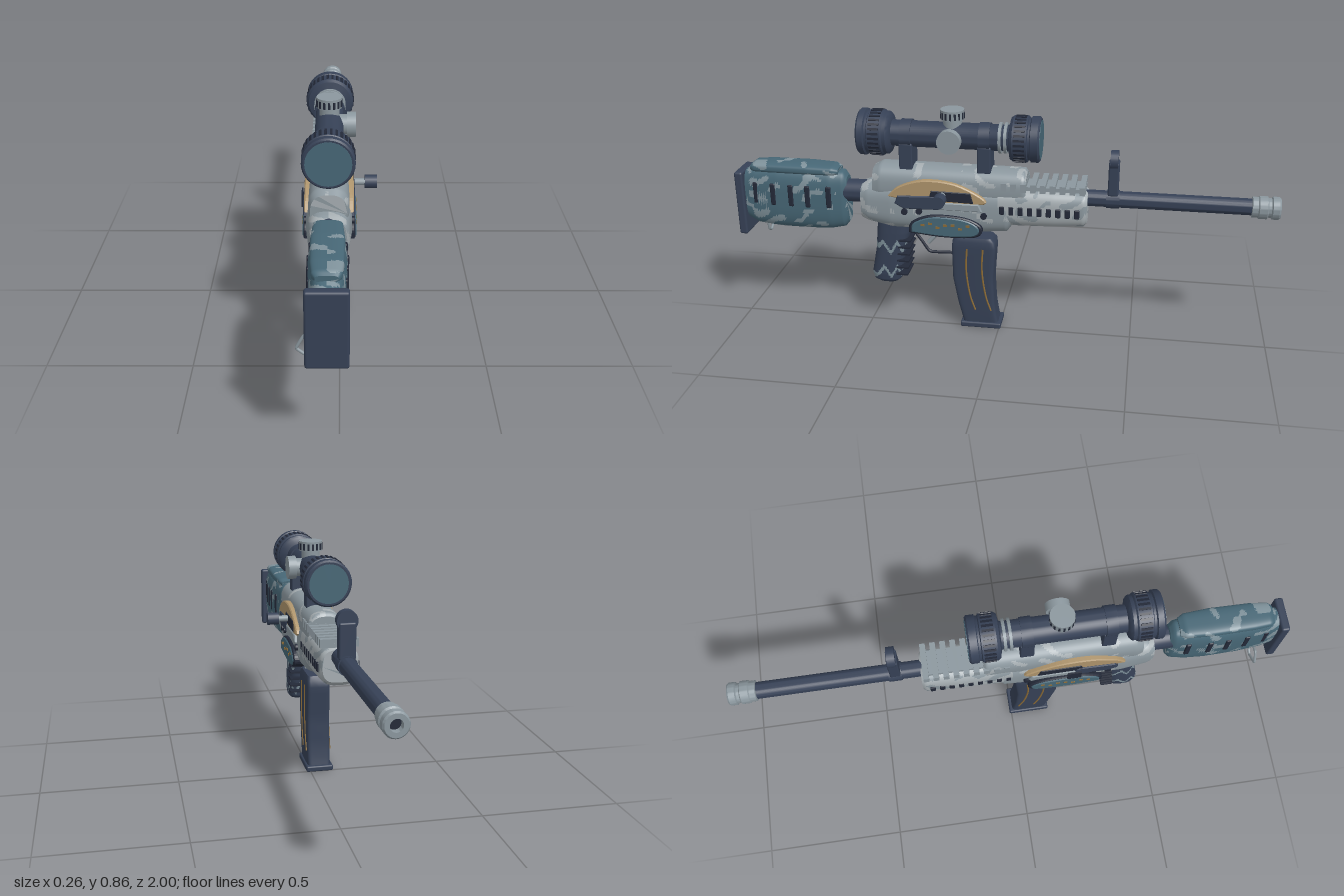
import * as THREE from 'three';
import { toCreasedNormals } from 'three/addons/utils/BufferGeometryUtils.js';
import { RoundedBoxGeometry } from 'three/addons/geometries/RoundedBoxGeometry.js';

const X = -0.035; // shared centre line
const mat = (name, color) => Object.assign(new THREE.MeshStandardMaterial({ color }), { name });

export function createModel() {
  const navy = mat('navy', 0x364156), dark = mat('nearBlack', 0x232938), teal = mat('teal', 0x476776);
  const mist = mat('mistGrey', 0x7f929b), grey = mat('grey', 0x8b979e), light = mat('lightGrey', 0xa6aeb2);
  const tan = mat('tan', 0xae946c), gold = mat('gold', 0x8c6c38);
  const model = new THREE.Group();
  model.name = 'scopedToyRifle';

  const add = (name, geo, m, x = 0, y = 0, z = 0) => {
    const mesh = new THREE.Mesh(geo, m);
    mesh.name = name;
    mesh.position.set(x, y, z);
    model.add(mesh);
    return mesh;
  };
  const box = (name, m, w, h, d, x, y, z) => add(name, new THREE.BoxGeometry(w, h, d), m, x, y, z);
  const rbox = (name, m, w, h, d, x, y, z, r = 0.008) => add(name, new RoundedBoxGeometry(w, h, d, 2, r), m, x, y, z);
  const tube = (name, m, pts, r, closed = false, tension = 0.5) => add(name, new THREE.TubeGeometry(
    new THREE.CatmullRomCurve3(pts.map(p => new THREE.Vector3(...p)), closed, 'catmullrom', tension), 40, r, 8, closed), m);
  // turned part along z, profile of [radius, z] with z rising
  const turned = (name, m, profile, y) => add(name, toCreasedNormals(new THREE.LatheGeometry(
    profile.map(p => new THREE.Vector2(...p)), 40).rotateX(Math.PI / 2), 0.6), m, X, y, 0);

  // Loft of superellipse sections [t, low, high, halfWidth] along z or y; pick chooses the material per face
  const loft = (name, axis, power, stations, mats, pick = () => 0, seg = 56, step = 0.008) => {
    const pos = [], rings = [], faces = mats.map(() => []);
    for (let k = 0; k < stations.length - 1; k++) {
      const a = stations[k], b = stations[k + 1], n = Math.max(1, Math.ceil((b[0] - a[0]) / step));
      for (let i = k ? 1 : 0; i <= n; i++) rings.push(a.map((v, q) => v + (b[q] - v) * i / n));
    }
    const ring = ([t, lo, hi, w]) => {
      for (let j = 0; j < seg; j++) {
        const ang = j / seg * Math.PI * 2, c = Math.cos(ang), s = Math.sin(ang);
        const u = Math.sign(c) * Math.abs(c) ** (2 / power), v = Math.sign(s) * Math.abs(s) ** (2 / power);
        const mid = (lo + hi) / 2, h = (hi - lo) / 2;
        if (axis === 'z') pos.push(X + w * u, mid + h * v, t);
        else pos.push(X + w * u, t, mid - h * v);
      }
    };
    rings.forEach(ring);
    const tri = (...ids) => {
      const c = [0, 1, 2].map(q => ids.reduce((sum, id) => sum + pos[id * 3 + q], 0) / 3);
      faces[pick(...c)].push(...ids);
    };
    for (let i = 0; i < rings.length - 1; i++) for (let j = 0; j < seg; j++) {
      const a = i * seg + j, b = i * seg + (j + 1) % seg;
      tri(a, b, a + seg);
      tri(b, b + seg, a + seg);
    }
    [rings[0], rings[rings.length - 1]].forEach((r, end) => {
      const s = pos.length / 3;
      ring(r);
      for (let j = 1; j < seg - 1; j++) end ? tri(s, s + j, s + j + 1) : tri(s, s + j + 1, s + j);
    });
    const geo = new THREE.BufferGeometry();
    geo.setAttribute('position', new THREE.Float32BufferAttribute(pos, 3));
    geo.setIndex(faces.flat());
    let start = 0;
    faces.forEach((f, i) => { geo.addGroup(start, f.length, i); start += f.length; });
    geo.computeVertexNormals();
    return add(name, geo, mats);
  };
  // Camouflage blotches
  const camo = limit => (x, y, z) => {
    const s = x > X ? 0 : 2.1;
    return Math.sin(z * 31 + 1.8 * Math.sin(y * 47 + s) + s) * Math.sin(y * 52 + 1.5 * Math.sin(z * 43) + s + x * 25) > limit ? 1 : 0;
  };
  // Plate with a [z, y] outline, reaching through the body to both sides
  const plate = (name, m, pts, half, curved = false) => {
    const shape = new THREE.Shape();
    const v = pts.map(([z, y]) => new THREE.Vector2(-z, y));
    if (curved) shape.setFromPoints(new THREE.SplineCurve([...v, v[0]]).getPoints(40).slice(0, -1));
    else shape.setFromPoints(v);
    const geo = new THREE.ExtrudeGeometry(shape, { depth: half * 2 - 0.008, bevelThickness: 0.004, bevelSize: 0.004, bevelSegments: 1 });
    return add(name, geo.translate(0, 0, 0.004 - half).rotateY(Math.PI / 2), m, X);
  };

  // Stock
  loft('stock', 'z', 3.2, [[0.575, 0.4, 0.58, 0.035], [0.59, 0.38, 0.6, 0.046], [0.64, 0.37, 0.605, 0.056], [0.72, 0.367, 0.608, 0.061],
    [0.84, 0.367, 0.608, 0.058], [0.93, 0.375, 0.6, 0.051], [0.975, 0.4, 0.585, 0.045]], [teal, mist], camo(0.42));
  loft('cheekRest', 'z', 3, [[0.605, 0.59, 0.612, 0.035], [0.625, 0.585, 0.622, 0.046], [0.72, 0.585, 0.626, 0.052], [0.87, 0.585, 0.626, 0.05],
    [0.93, 0.585, 0.622, 0.044], [0.945, 0.59, 0.612, 0.034]], [teal, mist], camo(0.45));
  rbox('buttPlate', navy, 0.128, 0.25, 0.032, -0.035, 0.465, 0.984);
  [[0.925, 0.05], [0.855, 0.058], [0.785, 0.061], [0.72, 0.062], [0.64, 0.058]].forEach(([z, w]) =>
    rbox('stockSlot', dark, w * 2 + 0.004, 0.085, 0.02, X, 0.508, z, 0.005));
  turned('stockTube', navy, [[0, 0.5], [0.043, 0.5], [0.043, 0.6], [0, 0.6]], 0.522);
  tube('slingLoop', grey, [[-0.1, 0.4, 0.915], [-0.125, 0.355, 0.915], [-0.08, 0.32, 0.915], [-0.058, 0.33, 0.915], [-0.05, 0.38, 0.915]], 0.005, true, 0.1);

  // Receiver and handguard
  loft('upperReceiver', 'z', 2.6, [[-0.1, 0.5, 0.63, 0.06], [-0.09, 0.5, 0.643, 0.066], [0.44, 0.5, 0.645, 0.067], [0.468, 0.5, 0.63, 0.06]],
    [grey, light], camo(0.6));
  loft('lowerReceiver', 'z', 3, [[-0.055, 0.44, 0.57, 0.066], [-0.03, 0.405, 0.575, 0.073], [0.1, 0.395, 0.58, 0.076], [0.4, 0.397, 0.58, 0.076],
    [0.49, 0.415, 0.57, 0.068], [0.516, 0.425, 0.56, 0.06]], [grey, light], camo(0.5));
  loft('handguard', 'z', 3, [[-0.322, 0.455, 0.57, 0.06], [-0.31, 0.442, 0.578, 0.068], [-0.2, 0.435, 0.58, 0.072], [0, 0.43, 0.58, 0.073]],
    [light, grey], camo(0.4));
  for (let i = 0; i < 9; i++) {
    rbox('handguardSlot', dark, 0.149, 0.034, 0.019, X, 0.504, -0.015 - i * 0.034, 0.004);
    box('railSlat', grey, 0.134, 0.03, 0.02, X, 0.591, -0.02 - i * 0.0355);
  }
  box('railBed', grey, 0.09, 0.014, 0.3, X, 0.583, -0.165);

  // Side panels and action
  plate('tanPanel', tan, [[0.4, 0.54], [0.36, 0.575], [0.27, 0.602], [0.15, 0.592], [0.045, 0.535], [0.13, 0.525], [0.3, 0.53]], 0.082, true);
  plate('actionCover', navy, [[0.375, 0.515], [0.365, 0.54], [0.23, 0.545], [0.22, 0.5], [0.345, 0.498]], 0.087);
  plate('boltCarrier', dark, [[0.25, 0.535], [0.24, 0.567], [0.1, 0.565], [0.09, 0.53]], 0.085);
  plate('actionStrip', grey, [[0.24, 0.5], [0.23, 0.522], [0.07, 0.522], [0.06, 0.5]], 0.086);
  const lens = [[0.325, 0.405], [0.315, 0.44], [0.24, 0.47], [0.12, 0.465], [0.062, 0.435], [0.08, 0.4], [0.2, 0.393]];
  plate('lowerPanelRim', dark, lens, 0.088, true);
  plate('lowerPanel', teal, lens.map(([z, y]) => [0.195 + (z - 0.195) * 0.92, 0.432 + (y - 0.432) * 0.86]), 0.092, true);
  for (let i = 0; i < 7; i++) box('panelStud', gold, 0.189, 0.008, 0.014, X, 0.437 + 0.008 * Math.sin(i * 2.2), 0.275 - i * 0.028);
  [[0.345, 0.48], [0.29, 0.485], [0.05, 0.48]].forEach(([z, y]) =>
    add('panelScrew', new THREE.CylinderGeometry(0.012, 0.012, 0.168, 14).rotateZ(Math.PI / 2), dark, X, y, z));
  box('sideLever', dark, 0.006, 0.05, 0.05, -0.128, 0.505, 0.22);
  add('boltRod', new THREE.CylinderGeometry(0.012, 0.012, 0.1, 14).rotateZ(Math.PI / 2), grey, 0.05, 0.555, 0.2);
  add('boltKnob', new THREE.CylinderGeometry(0.023, 0.023, 0.042, 18).rotateZ(Math.PI / 2), navy, 0.107, 0.556, 0.2);

  // Pistol grip with zigzag bands
  const zigzag = (x, y, z) => {
    const wave = 0.014 * Math.asin(Math.sin(z * 115 + x * 105));
    return [0.315, 0.212].some(level => Math.abs(y - level - wave) < 0.0095) ? 1 : 0;
  };
  loft('grip', 'y', 2.8, [[0.165, 0.395, 0.47, 0.035], [0.175, 0.383, 0.488, 0.043], [0.2, 0.378, 0.495, 0.046], [0.3, 0.36, 0.476, 0.047],
    [0.37, 0.345, 0.47, 0.046], [0.42, 0.34, 0.465, 0.044]], [navy, mist], zigzag, 72, 0.004);
  for (let i = 0; i < 6; i++) box('gripRidge', dark, 0.096, 0.006, 0.046, X, 0.205 + i * 0.028, 0.372 - i * 0.003);
  tube('triggerGuard', dark, [[X, 0.385, 0.34], [X, 0.33, 0.3], [X, 0.29, 0.272], [X, 0.288, 0.23], [X, 0.29, 0.17]], 0.006, false, 0.3);
  tube('trigger', grey, [[X, 0.4, 0.25], [X, 0.365, 0.245], [X, 0.325, 0.275]], 0.008);

  // Magazine
  loft('magazine', 'y', 8, [[0.012, 0.002, 0.136, 0.044], [0.05, 0.01, 0.145, 0.045], [0.1, 0.017, 0.158, 0.045], [0.2, 0.022, 0.177, 0.045],
    [0.33, 0.013, 0.18, 0.045], [0.355, 0.016, 0.177, 0.044], [0.37, 0.03, 0.165, 0.038]], [navy], undefined, 48, 0.03);
  rbox('magazineBase', navy, 0.103, 0.022, 0.155, X, 0.011, 0.07, 0.006);
  for (const side of [-1, 1]) for (const z of [0.12, 0.06])
    tube('magazineStripe', gold, [[0.33, 0], [0.26, 0.004], [0.2, 0], [0.13, -0.012], [0.075, -0.03]].map(([y, dz]) => [X + side * 0.045, y, z + dz]), 0.0035);
  box('magazineCatch', grey, 0.06, 0.03, 0.016, X, 0.385, 0.14);

  // Barrel, muzzle and front sight
  turned('barrel', navy, [[0, -0.95], [0.03, -0.95], [0.03, -0.3], [0, -0.3]], 0.545);
  turned('muzzle', grey, [[0.02, -0.97], [0.02, -1], [0.036, -1], [0.041, -0.994], [0.041, -0.972], [0.035, -0.968], [0.035, -0.958], [0.041, -0.954],
    [0.041, -0.926], [0.037, -0.922], [0.037, -0.902], [0.03, -0.9]], 0.545);
  turned('bore', dark, [[0, -0.975], [0.021, -0.975], [0.021, -0.96]], 0.545);
  turned('sightCollar', navy, [[0.03, -0.435], [0.034, -0.435], [0.034, -0.388], [0.03, -0.388]], 0.545);
  rbox('frontSightPost', navy, 0.058, 0.125, 0.038, X, 0.627, -0.411, 0.006);
  add('frontSightBead', new THREE.CylinderGeometry(0.036, 0.036, 0.028, 24).rotateX(Math.PI / 2), navy, X, 0.694, -0.411);

  // Scope
  const sy = 0.757;
  turned('scopeBody', navy, [[0, -0.147], [0.077, -0.147], [0.083, -0.141], [0.083, -0.115], [0.077, -0.112], [0.077, -0.105], [0.083, -0.102],
    [0.083, -0.05], [0.076, -0.04], [0.05, -0.035], [0.048, -0.03], [0.048, 0.395], [0.07, 0.4], [0.078, 0.408], [0.078, 0.42], [0.083, 0.425],
    [0.083, 0.475], [0.078, 0.478], [0.078, 0.486], [0.085, 0.49], [0.085, 0.51], [0.08, 0.516], [0, 0.516]], sy);
  turned('frontLens', teal, [[0, -0.149], [0.07, -0.149], [0.07, -0.14]], sy);
  turned('rearLens', teal, [[0, 0.51], [0.074, 0.51], [0.074, 0.518], [0, 0.518]], sy);
  [-0.022, -0.002].forEach(z => turned('scopeBand', grey, [[0.046, z - 0.006], [0.056, z - 0.005], [0.056, z + 0.005], [0.046, z + 0.006]], sy));
  for (const z of [-0.076, 0.45]) for (let i = 0; i < 30; i++) {
    const a = i / 30 * Math.PI * 2;
    box('scopeKnurl', dark, 0.005, 0.008, 0.04, X + 0.083 * Math.cos(a), sy + 0.083 * Math.sin(a), z).rotation.z = a;
  }
  for (const z of [0.342, 0.054]) {
    rbox('scopeMount', navy, 0.09, 0.1, 0.05, X, 0.68, z, 0.005);
    turned('scopeClamp', navy, [[0.048, z - 0.02], [0.053, z - 0.02], [0.053, z + 0.02], [0.048, z + 0.02]], sy);
  }
  const turret = (r, h) => new THREE.CylinderGeometry(r, r, h, 28);
  add('topTurretNeck', turret(0.034, 0.06), grey, X, 0.8, 0.174);
  add('topTurret', turret(0.043, 0.036), grey, X, 0.838, 0.174);
  for (let i = 0; i < 16; i++) {
    const a = i / 16 * Math.PI * 2;
    box('turretNotch', dark, 0.004, 0.024, 0.007, X + 0.0425 * Math.cos(a), 0.836, 0.174 + 0.0425 * Math.sin(a)).rotation.y = -a;
  }
  add('sideTurretNeck', turret(0.034, 0.06).rotateZ(Math.PI / 2), grey, 0.01, sy, 0.174);
  add('sideTurret', turret(0.043, 0.03).rotateZ(Math.PI / 2), grey, 0.039, sy, 0.174);
  return model;
}
